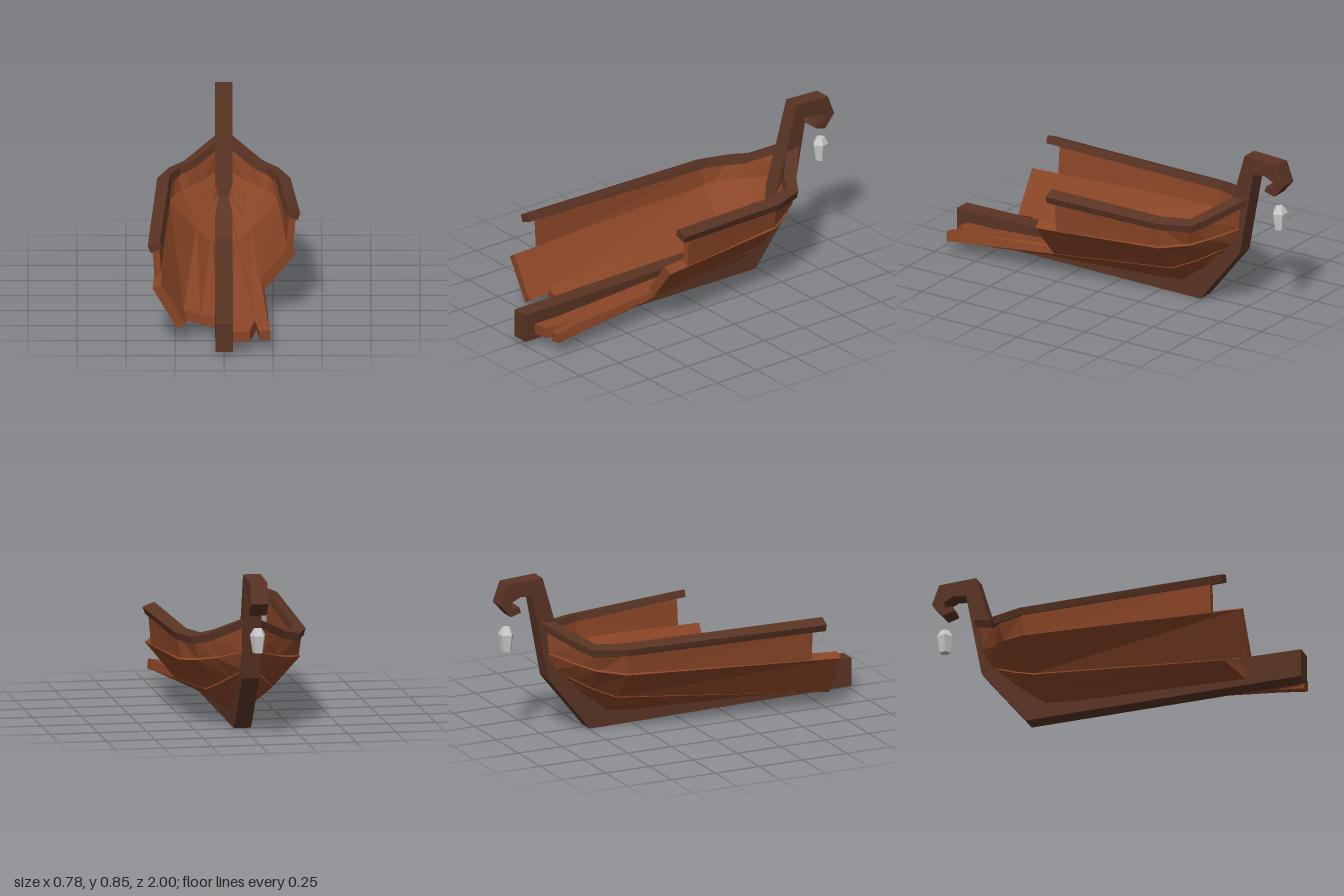
import * as THREE from 'three';

const wood = new THREE.MeshStandardMaterial({ color: 0x8b4627, flatShading: true });
const darkWood = new THREE.MeshStandardMaterial({ color: 0x5a3424, flatShading: true });
const grey = new THREE.MeshStandardMaterial({ color: 0xcccccc, flatShading: true });

// A thick board between two edge lines (stern to bow), thickened toward the inside.
// Lines are given for the +x side; side = -1 mirrors the board.
function board(name, upper, lower, thickness, side, material) {
  const a = upper.map((p) => new THREE.Vector3(...p));
  const b = lower.map((p) => new THREE.Vector3(...p));
  const last = a.length - 1;
  const rings = a.map((p, i) => {
    const i0 = Math.max(i - 1, 0), i1 = Math.min(i + 1, last);
    const along = a[i1].clone().add(b[i1]).sub(a[i0]).sub(b[i0]);
    const inward = along.cross(b[i].clone().sub(p)).normalize().multiplyScalar(thickness);
    return [p, b[i], b[i].clone().add(inward), p.clone().add(inward)];
  });
  const pos = [];
  const quad = (p, q, r, s) => {
    const order = side > 0 ? [p, q, r, p, r, s] : [p, r, q, p, s, r];
    order.forEach((v) => pos.push(v.x * side, v.y, v.z));
  };
  for (let i = 0; i < last; i++) {
    for (let k = 0; k < 4; k++) {
      const n = (k + 1) % 4;
      quad(rings[i][k], rings[i][n], rings[i + 1][n], rings[i + 1][k]);
    }
  }
  const [s, e] = [rings[0], rings[last]];
  quad(s[0], s[3], s[2], s[1]);
  quad(e[0], e[1], e[2], e[3]);
  const geo = new THREE.BufferGeometry();
  geo.setAttribute('position', new THREE.Float32BufferAttribute(pos, 3));
  geo.computeVertexNormals();
  const mesh = new THREE.Mesh(geo, material);
  mesh.name = name;
  return mesh;
}

// Bow parts of the edge lines, shared by both sides
const bow = {
  railTop: [[0.34, 0.495, -0.42], [0.28, 0.498, -0.585], [0.2, 0.52, -0.635], [0.035, 0.615, -0.78]],
  railLow: [[0.33, 0.458, -0.42], [0.272, 0.458, -0.58], [0.193, 0.48, -0.63], [0.035, 0.572, -0.77]],
  sideTop: [[0.322, 0.47, -0.41], [0.265, 0.47, -0.56], [0.185, 0.495, -0.615], [0.03, 0.58, -0.75]],
  sideLow: [[0.305, 0.345, -0.41], [0.235, 0.365, -0.54], [0.155, 0.385, -0.61], [0.03, 0.435, -0.735]],
  bilgeTop: [[0.315, 0.35, -0.41], [0.243, 0.37, -0.55], [0.16, 0.39, -0.62], [0.03, 0.44, -0.745]],
  bilgeLow: [[0.175, 0.195, -0.4], [0.125, 0.245, -0.52], [0.085, 0.285, -0.59], [0.03, 0.335, -0.69]],
  floorOut: [[0.172, 0.19, -0.4], [0.122, 0.24, -0.52], [0.03, 0.33, -0.68]],
  floorMid: [[0.1, 0.13, -0.39], [0.08, 0.2, -0.51], [0.03, 0.31, -0.66]],
  floorIn: [[0.03, 0.07, -0.38], [0.03, 0.16, -0.5], [0.03, 0.29, -0.645]],
};

export function createModel() {
  const group = new THREE.Group();

  // Keel, stem and curled prow as one profile [z, y]
  const profile = [
    [1, 0.02], [-0.49, 0], [-0.73, 0.3], [-0.815, 0.755], [-0.885, 0.76], [-0.937, 0.735],
    [-0.93, 0.7], [-0.893, 0.708], [-0.882, 0.678], [-0.94, 0.66], [-1, 0.73], [-0.96, 0.835],
    [-0.76, 0.845], [-0.68, 0.57], [-0.61, 0.34], [-0.41, 0.175], [1, 0.17],
  ];
  const shape = new THREE.Shape(profile.map(([z, y]) => new THREE.Vector2(-z, y)));
  const keelGeo = new THREE.ExtrudeGeometry(shape, { depth: 0.09, bevelEnabled: false });
  keelGeo.rotateY(Math.PI / 2).translate(-0.045, 0, 0);
  const keel = new THREE.Mesh(keelGeo, darkWood);
  keel.name = 'keelAndProw';
  group.add(keel);

  // Broken stern ends of the planks differ on each side
  const sides = [
    { side: 1, tag: 'left', railTop: [0.39, 0.515, 0.23], railLow: [0.376, 0.478, 0.23],
      sideTop: [0.367, 0.485, 0.19], sideLow: [0.353, 0.32, 0.19],
      bilgeTop: [0.363, 0.318, 0.31], bilgeLow: [0.208, 0.128, 0.3] },
    { side: -1, tag: 'right', railTop: [0.39, 0.488, 0.69], railLow: [0.375, 0.45, 0.69],
      sideTop: [0.367, 0.465, 0.62], sideLow: [0.355, 0.298, 0.62],
      bilgeTop: [0.365, 0.288, 0.78], bilgeLow: [0.237, 0.073, 0.78] },
  ];
  for (const s of sides) {
    const add = (part, top, low, thickness, material) => group.add(board(
      s.tag + part, [s[top], ...bow[top]], [s[low], ...bow[low]], thickness, s.side, material));
    add('Rail', 'railTop', 'railLow', 0.066, darkWood);
    add('SidePlank', 'sideTop', 'sideLow', 0.036, wood);
    add('BilgePlank', 'bilgeTop', 'bilgeLow', 0.05, wood);
  }

  // Left floor plank, split at the stern by a notch
  const notch = [0.165, 0.068, 0.78];
  group.add(board('leftFloorInner',
    [[0.135, 0.056, 0.935], notch, ...bow.floorMid],
    [[0.03, 0.047, 0.935], [0.03, 0.047, 0.78], ...bow.floorIn], 0.055, 1, wood));
  group.add(board('leftFloorOuter',
    [[0.24, 0.066, 0.935], [0.231, 0.081, 0.78], ...bow.floorOut],
    [[0.185, 0.06, 0.935], notch, ...bow.floorMid], 0.052, 1, wood));

  // Right floor plank with a slanted end
  group.add(board('rightFloorInner',
    [[0.13, 0.066, 0.675], ...bow.floorMid],
    [[0.03, 0.047, 0.705], ...bow.floorIn], 0.055, -1, wood));
  group.add(board('rightFloorOuter',
    [[0.226, 0.085, 0.645], ...bow.floorOut],
    [[0.13, 0.066, 0.675], ...bow.floorMid], 0.052, -1, wood));

  // Lantern under the prow: tapered body with a sloped cap
  const lantern = new THREE.Group();
  lantern.name = 'lantern';
  const body = new THREE.Mesh(new THREE.CylinderGeometry(0.042, 0.028, 0.09, 5), grey);
  body.name = 'lanternBody';
  body.position.y = 0.515;
  const cap = new THREE.Mesh(new THREE.CylinderGeometry(0.022, 0.042, 0.035, 5), grey);
  cap.name = 'lanternCap';
  cap.position.y = 0.5775;
  lantern.add(body, cap);
  lantern.position.z = -0.945;
  group.add(lantern);

  return group;
}
